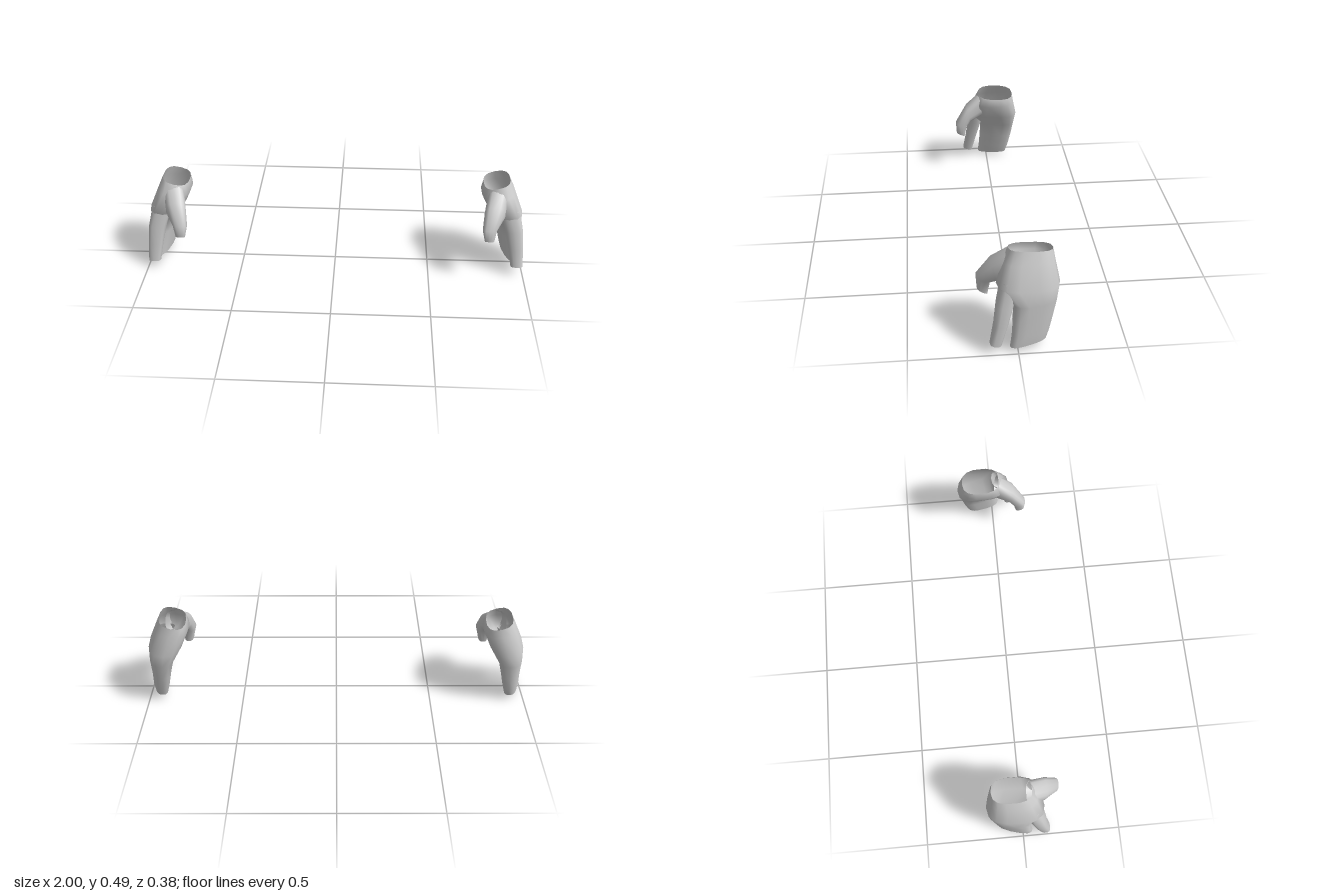
import * as THREE from 'three';

const SIDES = 14;
const material = new THREE.MeshStandardMaterial({ color: 0xcccccc, side: THREE.DoubleSide });

// A section is [back edge xyz, front edge xyz, half thickness, rise of the outer side].
// Each ring is a boxy oval between the two edges; the last ring gets a pointed cap.
function loft(name, sections, capDrop, side) {
  const positions = [];
  const indices = [];
  const soften = (v) => Math.sign(v) * Math.pow(Math.abs(v), 0.75);
  const tri = (a, b, c) => (side > 0 ? indices.push(a, b, c) : indices.push(a, c, b));

  const rings = sections.map(([back, front, thick, rise = 0]) => {
    const b = new THREE.Vector3(...back);
    const f = new THREE.Vector3(...front);
    const middle = b.clone().add(f).multiplyScalar(0.5);
    const reach = f.clone().sub(b).multiplyScalar(0.5);
    const across = new THREE.Vector3(thick, rise, 0);
    return Array.from({ length: SIDES }, (_, i) => {
      const a = (i / SIDES) * Math.PI * 2;
      return middle.clone()
        .addScaledVector(reach, soften(Math.cos(a)))
        .addScaledVector(across, soften(Math.sin(a)));
    });
  });
  const add = (p) => positions.push(p.x * side, p.y, p.z);
  rings.forEach((ring) => ring.forEach(add));

  for (let k = 0; k < rings.length - 1; k++) {
    for (let i = 0; i < SIDES; i++) {
      const j = (i + 1) % SIDES;
      const up = k * SIDES;
      const low = up + SIDES;
      tri(low + i, low + j, up + j);
      tri(low + i, up + j, up + i);
    }
  }

  // Separate cap vertices keep the tip edge sharp
  const last = rings[rings.length - 1];
  const start = positions.length / 3;
  last.forEach(add);
  const tip = new THREE.Vector3();
  last.forEach((p) => tip.addScaledVector(p, 1 / SIDES));
  tip.y -= capDrop;
  add(tip);
  for (let i = 0; i < SIDES; i++) {
    tri(start + SIDES, start + ((i + 1) % SIDES), start + i);
  }

  const geometry = new THREE.BufferGeometry();
  geometry.setAttribute('position', new THREE.Float32BufferAttribute(positions, 3));
  geometry.setIndex(indices);
  geometry.computeVertexNormals();
  const mesh = new THREE.Mesh(geometry, material);
  mesh.name = name;
  return mesh;
}

// Open wrist, palm and the three joined fingers
const palm = [
  [[0.84, 0.472, -0.165], [0.842, 0.48, 0.037], 0.067, 0.018],
  [[0.85, 0.425, -0.173], [0.85, 0.425, 0.065], 0.086, 0.01],
  [[0.885, 0.32, -0.194], [0.9, 0.335, 0.095], 0.087],
  [[0.9, 0.25, -0.182], [0.94, 0.25, 0.02], 0.062],
  [[0.908, 0.165, -0.166], [0.953, 0.165, 0.024], 0.05],
  [[0.918, 0.09, -0.149], [0.962, 0.09, 0.029], 0.043],
  [[0.925, 0.042, -0.134], [0.968, 0.028, 0.037], 0.034],
];

// Separate index finger
const indexFinger = [
  [[0.92, 0.36, 0.0], [0.9, 0.36, 0.075], 0.05],
  [[0.938, 0.25, 0.018], [0.94, 0.25, 0.1], 0.046],
  [[0.956, 0.15, 0.045], [0.956, 0.15, 0.112], 0.039],
  [[0.966, 0.043, 0.075], [0.968, 0.055, 0.129], 0.031],
];

// Thumb bending forward and down
const thumb = [
  [[0.85, 0.34, 0.01], [0.84, 0.47, 0.035], 0.055],
  [[0.83, 0.31, 0.087], [0.82, 0.41, 0.112], 0.053],
  [[0.805, 0.285, 0.112], [0.797, 0.31, 0.178], 0.037],
  [[0.807, 0.217, 0.125], [0.802, 0.243, 0.174], 0.024],
];

function createHand(name, side) {
  const hand = new THREE.Group();
  hand.name = name;
  hand.add(
    loft('palmAndFingers', palm, 0.016, side),
    loft('indexFinger', indexFinger, 0.002, side),
    loft('thumb', thumb, 0.002, side),
  );
  return hand;
}

export function createModel() {
  const model = new THREE.Group();
  model.name = 'pairOfHands';
  const left = createHand('leftHand', 1);
  const right = createHand('rightHand', -1);
  // The right hand sits slightly lower and further forward
  right.position.set(0, -0.014, 0.013);
  model.add(left, right);
  return model;
}
